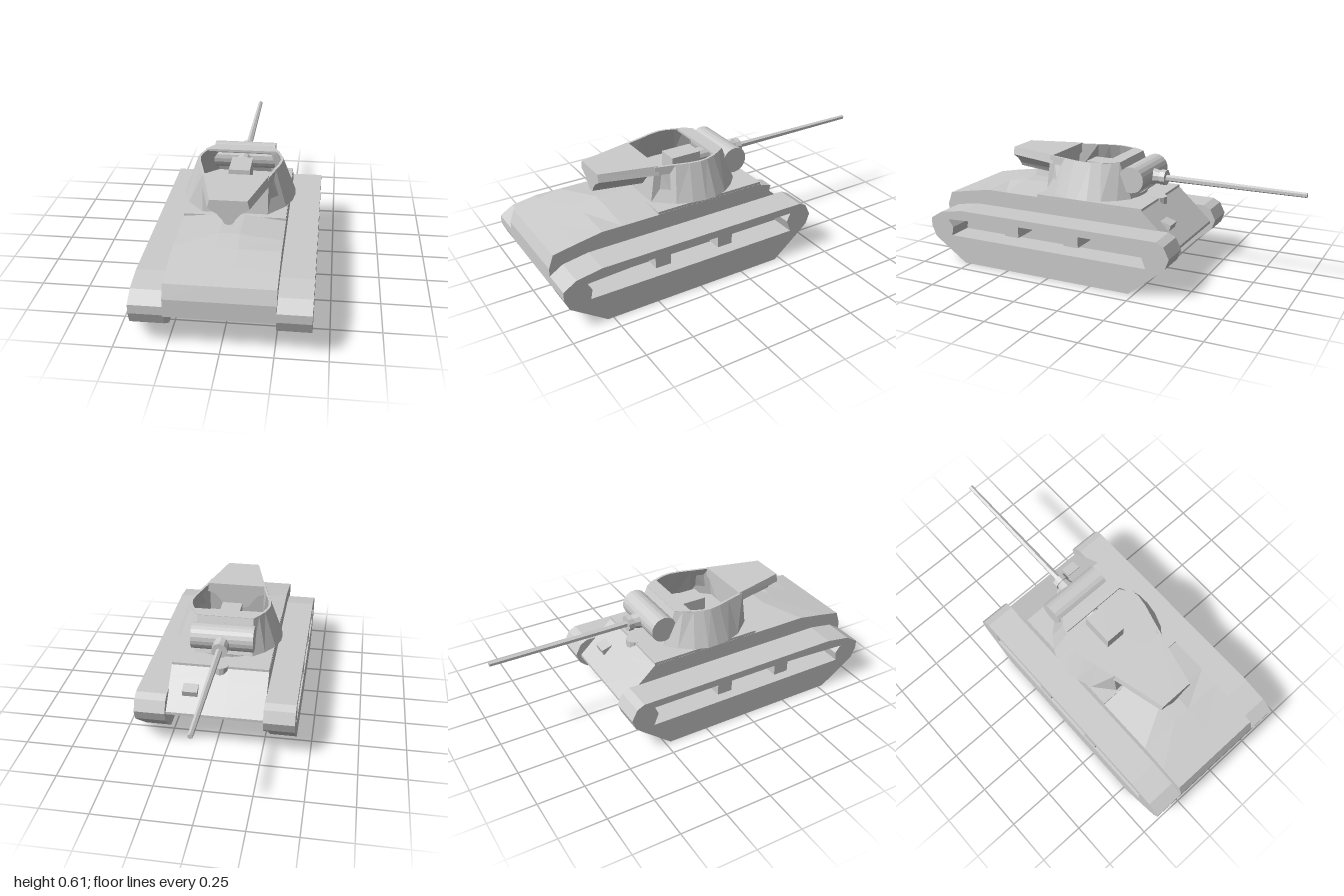
import * as THREE from 'three';

const mat = new THREE.MeshStandardMaterial({ color: 0xcccccc, flatShading: true, side: THREE.DoubleSide });

function add(parent, name, geometry, x = 0, y = 0, z = 0) {
  const mesh = new THREE.Mesh(geometry, mat);
  mesh.name = name;
  mesh.position.set(x, y, z);
  parent.add(mesh);
  return mesh;
}

// Skin a row of closed cross-sections and cap both ends
function loft(sections) {
  const n = sections[0].length, index = [];
  const last = (sections.length - 1) * n;
  for (let s = 0; s < last; s += n) {
    for (let i = 0; i < n; i++) {
      const a = s + i, b = s + (i + 1) % n;
      index.push(a, a + n, b, b, a + n, b + n);
    }
  }
  for (let i = 1; i < n - 1; i++) {
    index.push(0, i, i + 1, last, last + i + 1, last + i);
  }
  const g = new THREE.BufferGeometry();
  g.setAttribute('position', new THREE.Float32BufferAttribute(sections.flat(2), 3));
  g.setIndex(index);
  g.computeVertexNormals();
  return g;
}

// Extrude a (z, y) side profile across x, from x = 0 to x = -width
function sideExtrude(points, width, hole) {
  const shape = new THREE.Shape(points.map(p => new THREE.Vector2(...p)));
  if (hole) shape.holes.push(new THREE.Path(hole.map(p => new THREE.Vector2(...p))));
  return new THREE.ExtrudeGeometry(shape, { depth: width, bevelEnabled: false }).rotateY(-Math.PI / 2);
}

function buildTracks(group) {
  const upper = [[0.97, 0.13], [0.995, 0.19], [0.995, 0.235], [0.925, 0.278], [0.79, 0.3],
    [-0.37, 0.3], [-0.41, 0.28], [-0.44, 0.22], [-0.42, 0.165], [-0.38, 0.13]];
  const outline = [...upper, [-0.22, 0], [0.78, 0]];
  // Side opening with wheel-shaped ends and two hanging brackets
  const opening = [[0.86, 0.15], [0.85, 0.2], [0.88, 0.24], [0.6, 0.255],
    [0.51, 0.258], [0.51, 0.2], [0.425, 0.2], [0.425, 0.26],
    [0.15, 0.26], [0.15, 0.2], [0.065, 0.2], [0.065, 0.26],
    [-0.31, 0.26], [-0.29, 0.215], [-0.315, 0.15]];
  const track = sideExtrude(outline, 0.143, opening);
  const sponson = sideExtrude(upper, 0.025);
  add(group, 'leftTrack', track, 0.418);
  add(group, 'rightTrack', track, -0.275);
  add(group, 'leftSponson', sponson, 0.28);
  add(group, 'rightSponson', sponson, -0.255);
}

function buildHull(group) {
  // z, bottom, top at the sides, top at the middle
  const stations = [
    [0.995, 0.183, 0.275, 0.275], [0.97, 0.17, 0.343, 0.343], [0.85, 0.11, 0.366, 0.366],
    [0.71, 0.11, 0.389, 0.393], [0.6, 0.11, 0.388, 0.412], [0.4, 0.11, 0.388, 0.412],
    [0.399, 0.11, 0.39, 0.39], [-0.22, 0.11, 0.39, 0.39], [-0.27, 0.11, 0.344, 0.344],
    [-0.41, 0.2, 0.215, 0.215]];
  const w = 0.258;
  add(group, 'hull', loft(stations.map(([z, b, s, c]) => [
    [0.05, c, z], [-0.05, c, z], [-w, s, z], [-w, b, z], [w, b, z], [w, s, z]])));
  add(group, 'deckPlate', new THREE.BoxGeometry(0.514, 0.014, 0.62), 0, 0.396, 0.09);
  add(group, 'driverHood', new THREE.CylinderGeometry(0.045, 0.045, 0.04, 12), 0, 0.384, -0.205);
  const mount = add(group, 'bowMount', new THREE.BoxGeometry(0.08, 0.05, 0.06), 0.14, 0.295, -0.315);
  mount.rotation.x = -0.3;
}

function buildTurret(group) {
  const turret = new THREE.Group();
  turret.name = 'turret';
  group.add(turret);
  add(turret, 'turretRing', new THREE.CylinderGeometry(0.24, 0.24, 0.025, 32), 0, 0.408, 0.12);

  // Open-topped wall: half outlines (x, z) from front to back
  const lower = [[0.155, -0.115], [0.215, -0.06], [0.265, 0.01], [0.288, 0.08], [0.29, 0.14],
    [0.28, 0.21], [0.25, 0.29], [0.165, 0.39]];
  const upper = [[0.15, -0.045], [0.175, -0.01], [0.2, 0.04], [0.217, 0.09], [0.222, 0.13],
    [0.213, 0.19], [0.193, 0.26], [0.165, 0.365]];
  const ring = (half, y, k = 1) => [
    ...half.slice().reverse().map(([x, z]) => [x * k, y, 0.13 + (z - 0.13) * k]),
    ...half.map(([x, z]) => [-x * k, y, 0.13 + (z - 0.13) * k])];
  add(turret, 'turretWall', loft([
    ring(lower, 0.43, 0.94), ring(upper, 0.602, 0.94), ring(upper, 0.602), ring(lower, 0.415)]));

  // Narrow roof strip behind the front plate
  const roof = [[0.15, -0.045], [0.175, -0.01], [0.197, 0.03]];
  add(turret, 'turretRoof', loft([ring(roof, 0.604), ring(roof, 0.592)]));

  // Rear counterweight with hollowed undersides
  const section = (z, top, half, bottom) => [
    [0, top, z], ...half.map(([x, y]) => [-x, y, z]), [0, bottom, z],
    ...half.slice().reverse().map(([x, y]) => [x, y, z])];
  add(turret, 'counterweight', loft([
    section(0.643, 0.607, [[0.09, 0.607], [0.1, 0.565], [0.055, 0.535], [0.03, 0.505], [0.018, 0.484]], 0.48),
    section(0.345, 0.607, [[0.165, 0.607], [0.175, 0.56], [0.125, 0.545], [0.09, 0.505], [0.07, 0.475]], 0.455)]));

  add(turret, 'breech', new THREE.BoxGeometry(0.11, 0.09, 0.17), 0, 0.52, 0.115);
  add(turret, 'breechTube', new THREE.CylinderGeometry(0.04, 0.04, 0.14, 12).rotateX(Math.PI / 2), 0, 0.515, -0.03);
}

function buildGun(group) {
  const gun = new THREE.Group();
  gun.name = 'gun';
  group.add(gun);
  // Horizontal rounded shield, then collar and barrel along -z
  add(gun, 'mantlet', new THREE.CylinderGeometry(0.07, 0.07, 0.33, 20).rotateZ(Math.PI / 2), 0, 0.52, -0.115);
  const along = (front, back, length, sides) =>
    new THREE.CylinderGeometry(back, front, length, sides).rotateX(Math.PI / 2);
  add(gun, 'collarBase', along(0.032, 0.045, 0.06, 10), 0, 0.51, -0.2);
  add(gun, 'collar', along(0.042, 0.042, 0.03, 10), 0, 0.51, -0.235);
  add(gun, 'barrel', along(0.013, 0.018, 0.755, 6), 0, 0.508, -0.6225);
}

export function createModel() {
  const group = new THREE.Group();
  group.name = 'tank';
  buildTracks(group);
  buildHull(group);
  buildTurret(group);
  buildGun(group);
  return group;
}
